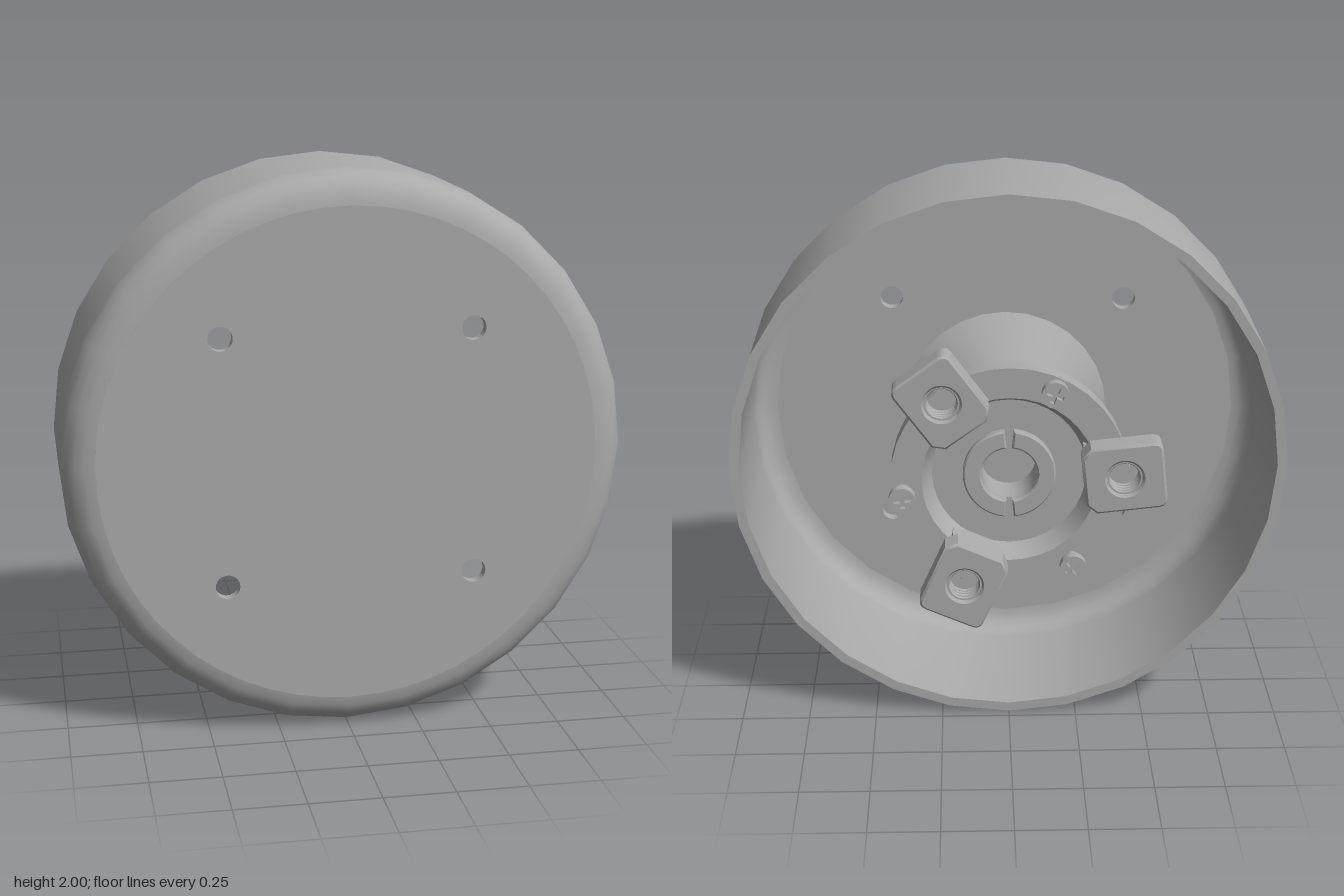
import * as THREE from 'three';
import { toCreasedNormals } from 'three/addons/utils/BufferGeometryUtils.js';

export function createModel() {
  const model = new THREE.Group();
  const metal = new THREE.MeshStandardMaterial({ color: 0xaaaaaa });
  metal.name = 'plain grey metal';

  const add = (parent, name, geometry, x = 0, y = 0, z = 0) => {
    const mesh = new THREE.Mesh(toCreasedNormals(geometry, 0.55), metal);
    mesh.name = name;
    mesh.position.set(x, y, z);
    parent.add(mesh);
    return mesh;
  };
  // Profile of [radius, z] pairs turned about the z axis
  const turn = (points, segments = 28) =>
    new THREE.LatheGeometry(points.map(p => new THREE.Vector2(p[0], p[1])), segments).rotateX(Math.PI / 2);
  const extrude = (shape, depth, bevel = 0, curveSegments = 20) =>
    new THREE.ExtrudeGeometry(shape, {
      depth: depth - 2 * bevel, curveSegments, bevelEnabled: bevel > 0,
      bevelThickness: bevel, bevelSize: bevel, bevelOffset: -bevel, bevelSegments: 1,
    }).translate(0, 0, bevel);
  const circle = (r, x = 0, y = 0) => new THREE.Path().absarc(x, y, r, 0, Math.PI * 2, true);
  const rod = (r, depth) => new THREE.CylinderGeometry(r, r, depth, 20).rotateX(Math.PI / 2).translate(0, 0, depth / 2);
  const fillet = (r, z, radius, from, to) => Array.from({ length: 6 }, (_, i) => {
    const a = from + (to - from) * i / 5;
    return [r + radius * Math.cos(a), z + radius * Math.sin(a)];
  });

  const body = new THREE.Group();
  body.name = 'drumAssembly';
  body.position.y = 1;
  model.add(body);

  // Hollow drum wall with rounded front edge
  add(body, 'drumWall', turn([
    ...fillet(0.88, 0.3, 0.085, Math.PI / 2, 0),
    [0.965, -0.215], [1, -0.215],
    ...fillet(0.88, 0.305, 0.12, 0, Math.PI / 2),
  ]));

  // Front plate with four through holes
  const plate = new THREE.Shape().absarc(0, 0, 0.88, 0, Math.PI * 2, false);
  for (const [x, y] of [[-0.45, 0.44], [0.43, 0.45], [0.445, -0.43], [-0.435, -0.44]])
    plate.holes.push(circle(0.043, x, y));
  add(body, 'frontPlate', extrude(plate, 0.04, 0, 28), 0, 0, 0.385);

  // Central post with conical foot and blind bore
  add(body, 'post', turn([
    [0, -0.12], [0.1, -0.12], [0.1, -0.23], [0.15, -0.23],
    [0.15, 0.26], [0.23, 0.26], [0.39, 0.386],
  ]));

  // Dished mounting ring
  add(body, 'mountingRing', turn([
    [0.1, -0.225], [0.1, -0.25], [0.275, -0.25], [0.31, -0.33], [0.42, -0.33],
    [0.42, -0.255], [0.39, -0.225], [0.1, -0.225],
  ], 36));

  // Split collar around the bore
  for (const side of [0, Math.PI]) {
    const a = Math.PI / 2 - 0.1;
    const half = new THREE.Shape();
    half.absarc(0, 0, 0.165, -a, a, false);
    half.absarc(0, 0, 0.1, a, -a, true);
    add(body, 'splitCollar', extrude(half, 0.035, 0.006), 0, 0, -0.28).rotation.z = side;
  }

  // Rounded lug outline with a threaded hole
  const lugShape = () => {
    const l = 0.142, w = 0.122, c = 0.035;
    const s = new THREE.Shape();
    s.moveTo(-l + c, -w);
    s.lineTo(l - c, -w).quadraticCurveTo(l, -w, l, -w + c);
    s.lineTo(l, w - c).quadraticCurveTo(l, w, l - c, w);
    s.lineTo(-l + c, w).lineTo(-l, w - c);
    s.lineTo(-l, -w + c).lineTo(-l + c, -w);
    s.holes.push(circle(0.062));
    return s;
  };
  // Cross-shaped recess in the screw heads
  const headShape = () => {
    const s = new THREE.Shape().absarc(0, 0, 0.047, 0, Math.PI * 2, false);
    const cross = [];
    for (let i = 0; i < 4; i++)
      for (const [x, y] of [[0.03, -0.008], [0.03, 0.008], [0.008, 0.008]])
        cross.push(new THREE.Vector2(x, y).rotateAround(new THREE.Vector2(), i * Math.PI / 2));
    s.holes.push(new THREE.Path(cross.reverse()));
    return s;
  };

  for (let i = 0; i < 3; i++) {
    const turnBy = i * Math.PI * 2 / 3;

    // Lug on its leg, with thread ridges inside and below
    const lug = new THREE.Group();
    lug.name = 'lug';
    lug.rotation.z = turnBy + THREE.MathUtils.degToRad(54);
    body.add(lug);
    add(lug, 'lugBlock', extrude(lugShape(), 0.096, 0.008), 0.4, 0, -0.425);
    add(lug, 'lugLeg', new THREE.BoxGeometry(0.1, 0.2, 0.09), 0.32, 0, -0.287);
    add(lug, 'lugStud', rod(0.045, 0.09), 0.375, 0, -0.325);
    for (let k = 0; k < 4; k++) {
      add(lug, 'holeThread', new THREE.TorusGeometry(0.06, 0.008, 6, 20), 0.4, 0, -0.405 + k * 0.02);
      add(lug, 'studThread', new THREE.TorusGeometry(0.045, 0.007, 6, 20), 0.375, 0, -0.315 + k * 0.022);
    }

    // Screw between neighbouring lugs
    const screw = new THREE.Group();
    screw.name = 'screw';
    screw.rotation.z = turnBy + THREE.MathUtils.degToRad(-6);
    body.add(screw);
    add(screw, 'screwShank', rod(0.03, 0.065), 0.38, 0, -0.39);
    add(screw, 'screwHeadBase', rod(0.047, 0.015), 0.38, 0, -0.39);
    add(screw, 'screwHead', extrude(headShape(), 0.02), 0.38, 0, -0.41);
  }
  return model;
}
